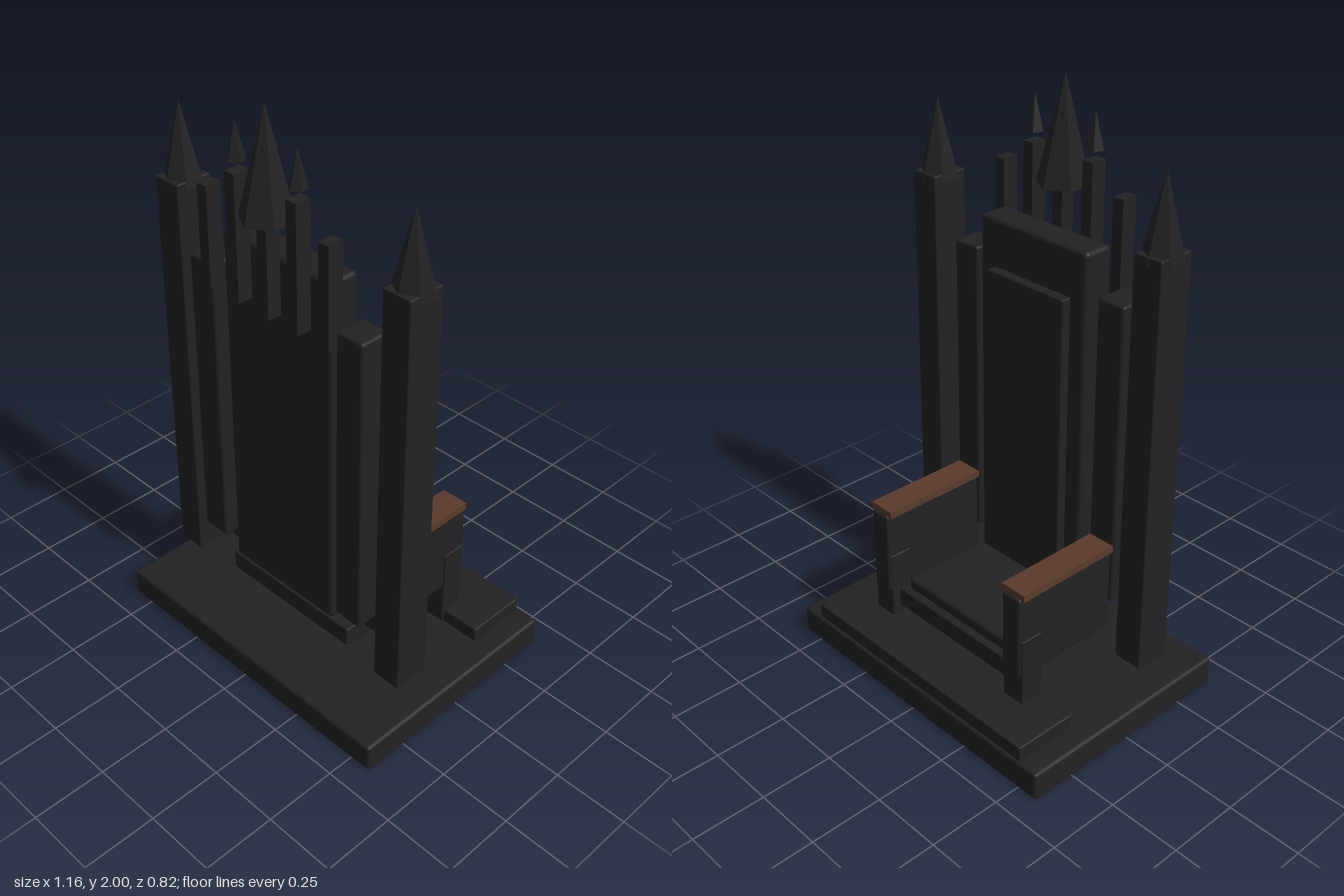
import * as THREE from 'three';
import { RoundedBoxGeometry } from 'three/addons/geometries/RoundedBoxGeometry.js';

export function createModel() {
  const group = new THREE.Group();
  const stone = new THREE.MeshStandardMaterial({ color: 0x222222 });
  stone.name = 'dark stone';
  const leather = new THREE.MeshStandardMaterial({ color: 0x5a3a2c });
  leather.name = 'brown leather';

  const add = (name, geometry, material, x, y, z) => {
    const mesh = new THREE.Mesh(geometry, material);
    mesh.name = name;
    mesh.position.set(x, y, z);
    group.add(mesh);
  };

  // Box from its extents; r > 0 rounds the edges
  const box = (name, [x0, x1], [y0, y1], [z0, z1], r = 0, material = stone) => {
    const size = [x1 - x0, y1 - y0, z1 - z0];
    const geometry = r ? new RoundedBoxGeometry(...size, 2, r) : new THREE.BoxGeometry(...size);
    add(name, geometry, material, (x0 + x1) / 2, (y0 + y1) / 2, (z0 + z1) / 2);
  };

  // Faceted spire from y0 up to y1
  const spire = (name, x, y0, y1, z, radius, sides) => {
    const geometry = new THREE.ConeGeometry(radius, y1 - y0, sides).toNonIndexed();
    geometry.computeVertexNormals();
    add(name, geometry, stone, x, (y0 + y1) / 2, z);
  };

  // Plinth and footstep
  box('plinth', [-0.58, 0.58], [0, 0.1], [-0.41, 0.41], 0.012);
  box('footstep', [-0.5, 0.5], [0.095, 0.15], [-0.4, -0.18], 0.005);

  // Seat
  box('seat', [-0.275, 0.275], [0.18, 0.25], [-0.225, 0.2], 0.005);
  box('cushion', [-0.247, 0.247], [0.25, 0.3], [-0.205, 0.155], 0.015);

  // Backrest with raised inset on the sitting side
  box('backrest', [-0.23, 0.23], [0.285, 1.53], [0.12, 0.225], 0.015);
  box('backrestInset', [-0.165, 0.165], [0.4, 1.37], [0.088, 0.13], 0.005);

  // Mirrored arms, wings, towers and outer crest bars
  for (const side of [-1, 1]) {
    const span = (a, b) => (side > 0 ? [a, b] : [-b, -a]);
    box('frontLeg', span(0.273, 0.36), [0.1, 0.39], [-0.255, -0.172], 0.004);
    box('armPanel', span(0.276, 0.354), [0.25, 0.55], [-0.265, 0.145], 0.01);
    box('armrest', span(0.266, 0.364), [0.545, 0.57], [-0.256, 0.145], 0, leather);
    box('sideWing', span(0.262, 0.368), [0.35, 1.4], [0.135, 0.243], 0.01);
    box('tower', span(0.423, 0.527), [0.19, 1.6], [0.102, 0.23], 0.005);
    spire('towerSpire', side * 0.475, 1.575, 1.84, 0.165, 0.067, 6);
    box('outerCrestBar', span(0.23, 0.27), [1.345, 1.68], [0.222, 0.278]);
    box('innerCrestBar', span(0.105, 0.145), [1.345, 1.76], [0.222, 0.278]);
    spire('crestTip', side * 0.125, 1.79, 1.91, 0.25, 0.03, 5);
  }

  // Central crest
  box('centreCrestBar', [-0.02, 0.02], [1.34, 1.88], [0.225, 0.275]);
  spire('centreSpire', 0, 1.655, 2, 0.25, 0.086, 6);

  return group;
}
